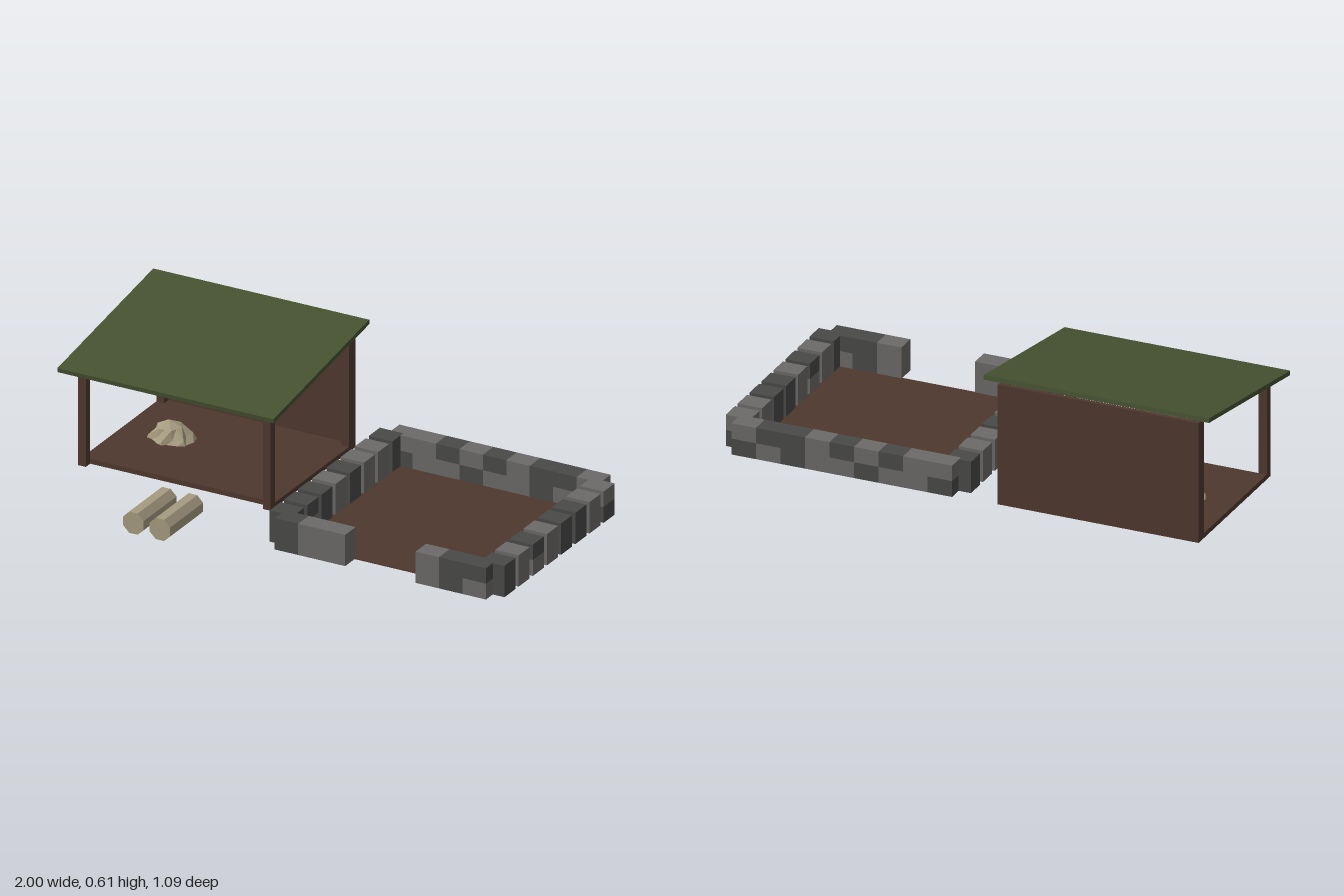
import * as THREE from 'three';

const mat = (name, color) => {
  const m = new THREE.MeshStandardMaterial({ color, flatShading: true });
  m.name = name;
  return m;
};

export function createModel() {
  const model = new THREE.Group();
  const wood = mat('dark wood', 0x4e382f);
  const roofing = mat('green roofing', 0x465231);
  const paleStone = mat('pale stone', 0x6b6a68);
  const darkStone = mat('dark stone', 0x494948);
  const straw = mat('straw', 0xa69b80);

  const GROUND = 0.09;

  function add(parent, name, geometry, material, x = 0, y = 0, z = 0) {
    const mesh = new THREE.Mesh(geometry, material);
    mesh.name = name;
    mesh.position.set(x, y, z);
    parent.add(mesh);
    return mesh;
  }
  // Box given by its limits on each axis
  function block(parent, name, material, x0, x1, y0, y1, z0, z1) {
    return add(parent, name, new THREE.BoxGeometry(x1 - x0, y1 - y0, z1 - z0), material,
      (x0 + x1) / 2, (y0 + y1) / 2, (z0 + z1) / 2);
  }
  function group(name) {
    const g = new THREE.Group();
    g.name = name;
    model.add(g);
    return g;
  }

  // Open-fronted shelter
  const shelter = group('shelter');
  block(shelter, 'shelterFloor', wood, -0.95, -0.13, GROUND, 0.11, -0.51, 0.083);
  block(shelter, 'backWall', wood, -0.95, -0.13, GROUND, 0.58, -0.528, -0.51);
  for (const x of [-0.95, -0.163]) {
    block(shelter, 'frontPost', wood, x, x + 0.033, GROUND, 0.48, 0.083, 0.116);
    block(shelter, 'backPost', wood, x, x + 0.033, GROUND, 0.579, -0.511, -0.478);
  }
  const roof = add(shelter, 'slopedRoof', new THREE.BoxGeometry(0.92, 0.018, 0.735), roofing, -0.54, 0.551, -0.181);
  roof.rotation.x = 0.155;

  // Yard ground
  const yard = group('yard');
  block(yard, 'yardGround', wood, 0.09, 0.91, 0.088, 0.092, -0.465, 0.33);

  // Two courses of stone; L is pale, D is dark
  const courses = [[GROUND, 0.155], [0.155, 0.218]];
  const stoneOf = (c) => (c === 'L' ? paleStone : darkStone);
  function stoneRow(name, patterns, x0, z0, z1) {
    patterns.forEach((pattern, k) => [...pattern].forEach((c, i) =>
      block(yard, name, stoneOf(c), x0 + i * 0.1, x0 + i * 0.1 + 0.1, ...courses[k], z0, z1)));
  }
  // Patterns run lower course first, from right (-x) to left (+x)
  stoneRow('backStone', ['DLLDLLDLD', 'LLDLDLDDL'], 0.05, -0.54, -0.46);
  stoneRow('frontStone', ['DLL'], 0.05, 0.325, 0.405);
  stoneRow('frontStone', ['LDL'], 0.65, 0.325, 0.405);
  [['DLL', 0.05], ['LDD', 0.65]].forEach(([pattern, x0]) => [...pattern].forEach((c, i) =>
    block(yard, 'frontStone', stoneOf(c), x0 + i * 0.1, x0 + i * 0.1 + 0.1, ...courses[1], 0.325, 0.405)));

  // Spaced stones along both sides, front to back
  function stoneSide(name, patterns, x0) {
    patterns.forEach((pattern, k) => [...pattern].forEach((c, i) => {
      const z = 0.312 - i * 0.1073;
      block(yard, name, stoneOf(c), x0, x0 + 0.1, ...courses[k], z - 0.0415, z + 0.0415);
    }));
  }
  stoneSide('rightStone', ['DLDLDLLD', 'DDDLDLLD'], 0);
  stoneSide('leftStone', ['DLLLDDLD', 'DLDLDDLL'], 0.9);

  // Eight-sided logs lying front to back
  const logGeometry = new THREE.CylinderGeometry(0.047, 0.047, 0.25, 8);
  logGeometry.rotateY(Math.PI / 8);
  logGeometry.rotateX(Math.PI / 2);
  for (const x of [-0.473, -0.36]) add(model, 'log', logGeometry, straw, x, 0.135, 0.42);

  // Straw heap: stacked rings, folded into ridges near the top, closed by two centre points
  const SIDES = 12;
  const rings = [ // height, ridge radius, fold radius
    [0, 0.13, 0.13], [0.085, 0.1, 0.095], [0.11, 0.088, 0.066], [0.145, 0.045, 0.052],
  ];
  const point = (k, i) => {
    if (k < 0) return [0, 0, 0];
    if (k >= rings.length) return [0, 0.17, 0];
    const [h, ridge, fold] = rings[k];
    const r = i % 2 ? fold : ridge;
    const a = (i / SIDES) * Math.PI * 2;
    return [r * Math.sin(a), h, r * Math.cos(a) * 0.82];
  };
  const corners = [];
  for (let i = 0; i < SIDES; i++) {
    const j = i + 1;
    corners.push(...point(-1, 0), ...point(0, j), ...point(0, i));
    for (let k = 0; k < rings.length - 1; k++) {
      corners.push(...point(k, i), ...point(k, j), ...point(k + 1, j));
      corners.push(...point(k, i), ...point(k + 1, j), ...point(k + 1, i));
    }
    corners.push(...point(rings.length - 1, i), ...point(rings.length - 1, j), ...point(rings.length, 0));
  }
  const heapGeometry = new THREE.BufferGeometry();
  heapGeometry.setAttribute('position', new THREE.Float32BufferAttribute(corners, 3));
  heapGeometry.computeVertexNormals();
  const heap = add(model, 'strawHeap', heapGeometry, straw, -0.742, 0.02, -0.236);
  heap.rotation.set(0.12, 0, 0.04);

  return model;
}
